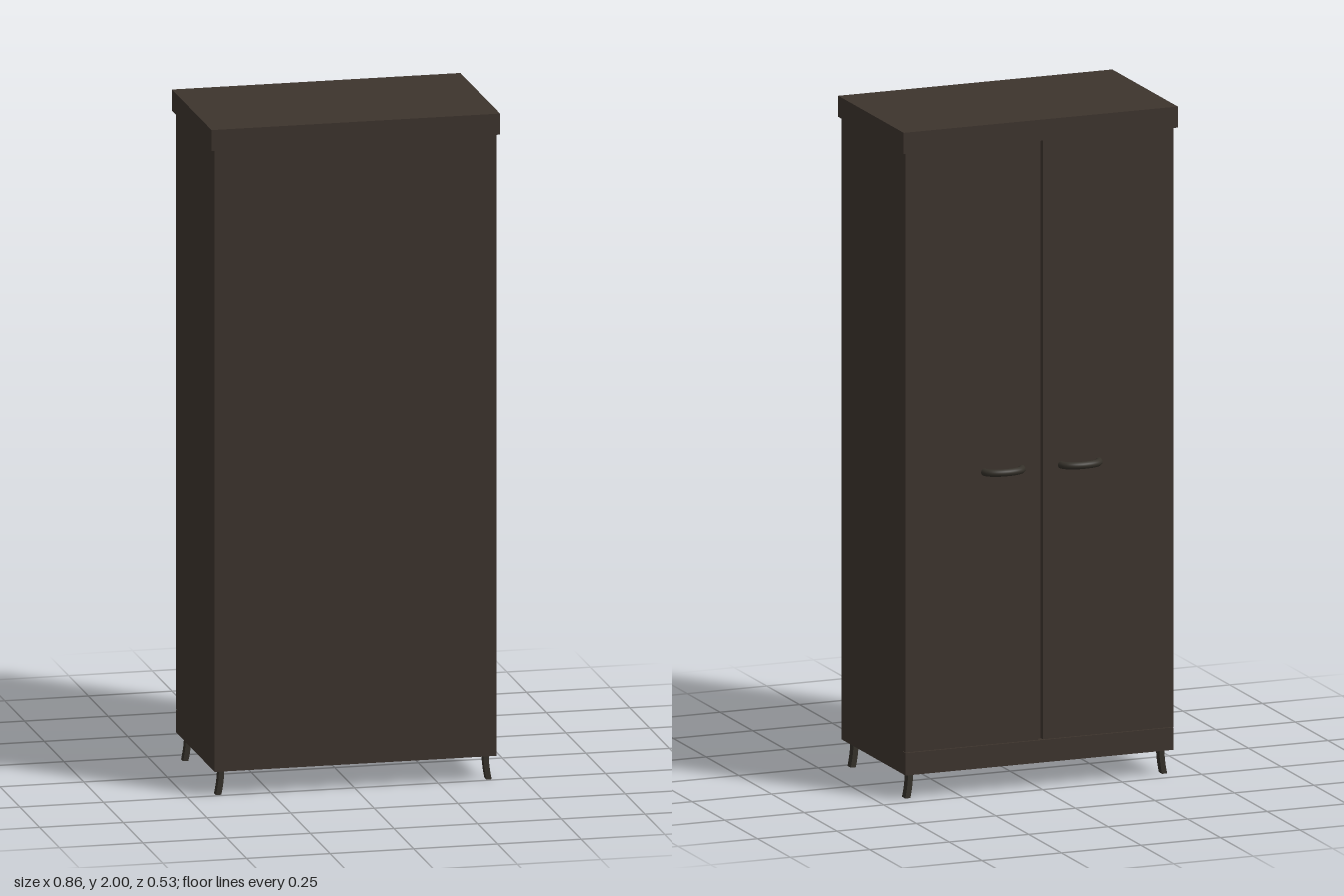
import * as THREE from 'three';

export function createModel() {
  const model = new THREE.Group();
  const wood = new THREE.MeshStandardMaterial({ color: 0x3d342d });
  wood.name = 'dark wood';
  const metal = new THREE.MeshStandardMaterial({ color: 0x35312a });
  metal.name = 'dark metal';

  const add = (name, geometry, material) => {
    const mesh = new THREE.Mesh(geometry, material);
    mesh.name = name;
    model.add(mesh);
    return mesh;
  };
  // box given by its extents on each axis
  const box = (name, x0, x1, y0, y1, z0, z1) => {
    const mesh = add(name, new THREE.BoxGeometry(x1 - x0, y1 - y0, z1 - z0), wood);
    mesh.position.set((x0 + x1) / 2, (y0 + y1) / 2, (z0 + z1) / 2);
  };

  const W = 0.421, doorZ = -0.225, split = -0.004, gap = 0.007;

  // cabinet body, plinth and overhanging top
  box('carcass', -W, W, 0.075, 1.937, doorZ + 0.02, 0.263);
  box('plinth', -W, W, 0.075, 0.142, doorZ, doorZ + 0.02);
  box('topBoard', -0.431, 0.431, 1.937, 2, -0.235, 0.265);

  // pair of doors with a narrow gap between them
  box('doorRight', -W, split - gap, 0.144, 1.937, doorZ, doorZ + 0.02);
  box('doorLeft', split + gap, W, 0.144, 1.937, doorZ, doorZ + 0.02);

  // bow handles
  for (const side of [-1, 1]) {
    const points = [];
    for (let i = 0; i <= 10; i++) {
      const a = (i / 10) * Math.PI;
      points.push(new THREE.Vector3(Math.cos(a) * 0.059, 0, -Math.sin(a) * 0.033));
    }
    const path = new THREE.CatmullRomCurve3(points);
    const handle = add('handle', new THREE.TubeGeometry(path, 32, 0.011, 12), metal);
    handle.position.set(split - 0.002 + side * 0.121, 0.96, doorZ + 0.001);
  }

  // short legs, curving outwards towards the floor
  for (const side of [-1, 1]) {
    for (const z of [0.228, -0.188]) {
      const geometry = new THREE.BoxGeometry(0.016, 0.08, 0.025, 1, 6, 1);
      const pos = geometry.attributes.position;
      for (let i = 0; i < pos.count; i++) {
        const t = 0.5 - pos.getY(i) / 0.08;
        pos.setX(i, pos.getX(i) + side * 0.009 * t * t);
      }
      geometry.computeVertexNormals();
      add('leg', geometry, metal).position.set(side * 0.395, 0.04, z);
    }
  }
  return model;
}
